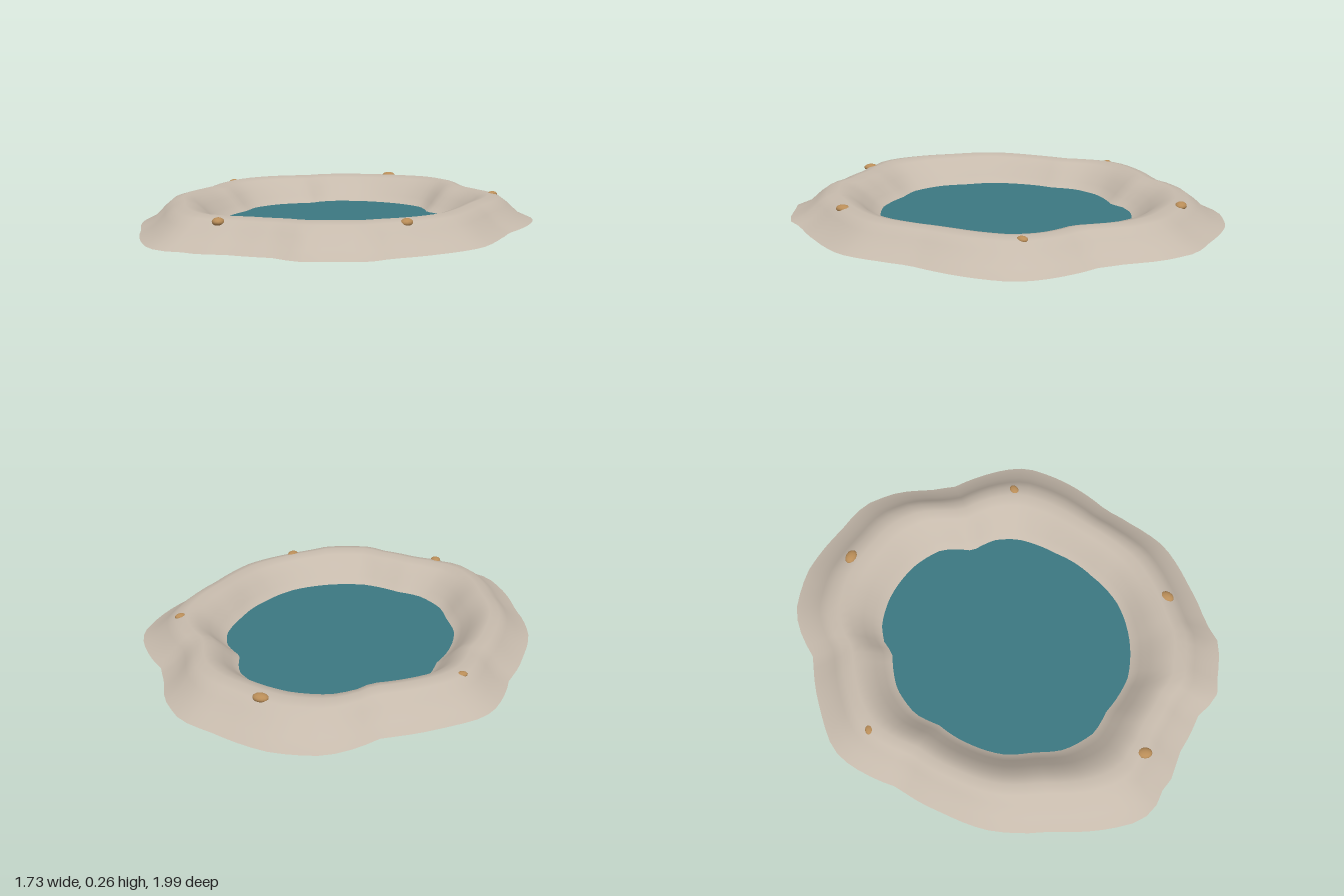
import * as THREE from 'three';

// Plan outlines as x, z pairs
const BANK = [
  .86, -.09, .85, -.29, .80, -.38, .72, -.47, .60, -.57, .53, -.67, .455, -.80, .32, -.92, .15, -.96,
  -.11, -1, -.285, -.96, -.365, -.91, -.48, -.76, -.69, -.605, -.82, -.47, -.85, -.38, -.85, -.13,
  -.865, .11, -.85, .31, -.78, .49, -.735, .565, -.69, .665, -.535, .89, -.46, .94, -.35, .94, -.27, .96,
  -.185, .94, .03, .955, .15, 1, .23, .97, .40, .91, .465, .82, .61, .675, .75, .49, .79, .30, .805, .16, .84, .04,
];
const SHORE = [
  .49, -.09, .48, -.16, .43, -.26, .33, -.335, .265, -.475, .14, -.55, -.07, -.58, -.20, -.55, -.27, -.50,
  -.30, -.44, -.445, -.34, -.515, -.21, -.515, -.09, -.535, .08, -.51, .24, -.445, .35, -.375, .47,
  -.245, .56, -.13, .57, .06, .595, .215, .54, .375, .41, .455, .24, .49, .03,
];
const SEGMENTS = 96;
const WATER_Y = 0.125;

// Radius of an outline as a function of angle
function polar(outline) {
  const pts = [];
  for (let i = 0; i < outline.length; i += 2) {
    const x = outline[i], z = outline[i + 1];
    pts.push({ a: Math.atan2(z, x), r: Math.hypot(x, z) });
  }
  pts.sort((p, q) => p.a - q.a);
  const first = pts[0], last = pts[pts.length - 1];
  pts.unshift({ a: last.a - 2 * Math.PI, r: last.r });
  pts.push({ a: first.a + 2 * Math.PI, r: first.r });
  return (angle) => {
    const k = pts.findIndex((p) => p.a > angle);
    const p = pts[k - 1], q = pts[k];
    return THREE.MathUtils.lerp(p.r, q.r, (angle - p.a) / (q.a - p.a));
  };
}

const bankRadius = polar(BANK);
const shoreRadius = polar(SHORE);
const angleAt = (j) => -Math.PI + ((j + 0.5) / SEGMENTS) * 2 * Math.PI;

// Basin rings (fraction of shore radius, height), then rim rings (shore to bank, height)
const BASIN = [[0.3, .008], [0.62, .03], [0.82, .08], [1, WATER_Y]];
const RIM = [[.1, .158], [.2, .195], [.33, .235], [.46, .248], [.59, .237], [.7, .205], [.83, .157], [1, .128]];

function groundGeometry() {
  const pos = [0, 0, 0], index = [];
  const rings = [
    ...BASIN.map(([s, y]) => ({ y, r: (a) => s * shoreRadius(a) })),
    ...RIM.map(([t, y]) => ({ y, r: (a) => THREE.MathUtils.lerp(shoreRadius(a), bankRadius(a), t) })),
  ];
  rings.forEach((ring, i) => {
    // gentle unevenness on the rim only
    const wobble = i < BASIN.length ? 0 : 0.003;
    for (let j = 0; j < SEGMENTS; j++) {
      const a = angleAt(j), r = ring.r(a);
      pos.push(r * Math.cos(a), ring.y + wobble * Math.sin(5 * a + 1), r * Math.sin(a));
      const k = (j + 1) % SEGMENTS, row = 1 + i * SEGMENTS, prev = row - SEGMENTS;
      if (i === 0) index.push(0, row + k, row + j);
      else index.push(prev + j, prev + k, row + j, prev + k, row + k, row + j);
    }
  });
  const g = new THREE.BufferGeometry();
  g.setAttribute('position', new THREE.Float32BufferAttribute(pos, 3));
  g.setIndex(index);
  g.computeVertexNormals();
  return g;
}

export function createModel() {
  const sand = new THREE.MeshStandardMaterial({ color: 0xc6baac, side: THREE.DoubleSide });
  const water = new THREE.MeshStandardMaterial({ color: 0x3b7781, side: THREE.DoubleSide });
  const pebble = new THREE.MeshStandardMaterial({ color: 0xb98d58 });
  const group = new THREE.Group();

  const add = (name, geometry, material) => {
    const mesh = new THREE.Mesh(geometry, material);
    mesh.name = name;
    group.add(mesh);
    return mesh;
  };
  sand.name = 'sand';
  water.name = 'water';
  pebble.name = 'pebble';

  // Basin and raised bank in one open surface
  add('basinAndBank', groundGeometry(), sand);

  // Flat water sheet
  const outline = [];
  for (let j = 0; j < SEGMENTS; j++) {
    const a = angleAt(j), r = shoreRadius(a);
    outline.push(new THREE.Vector2(r * Math.cos(a), -r * Math.sin(a)));
  }
  const sheet = new THREE.ShapeGeometry(new THREE.Shape(outline)).rotateX(-Math.PI / 2);
  add('waterSurface', sheet, water).position.y = WATER_Y;

  // Pebbles half buried along the crest: x, y, z, radius
  const stones = [
    [.01, .238, -.81, .035], [-.69, .234, -.34, .024], [.66, .236, -.27, .027],
    [.465, .232, .605, .034], [-.26, .229, .80, .034],
  ];
  const stoneGeometry = new THREE.SphereGeometry(1, 12, 8);
  stones.forEach(([x, y, z, r], i) => {
    const stone = add('pebble' + (i + 1), stoneGeometry, pebble);
    stone.position.set(x, y, z);
    stone.scale.set(r, r * 0.5, r * 0.75);
    stone.rotation.y = i * 0.5;
  });
  return group;
}
